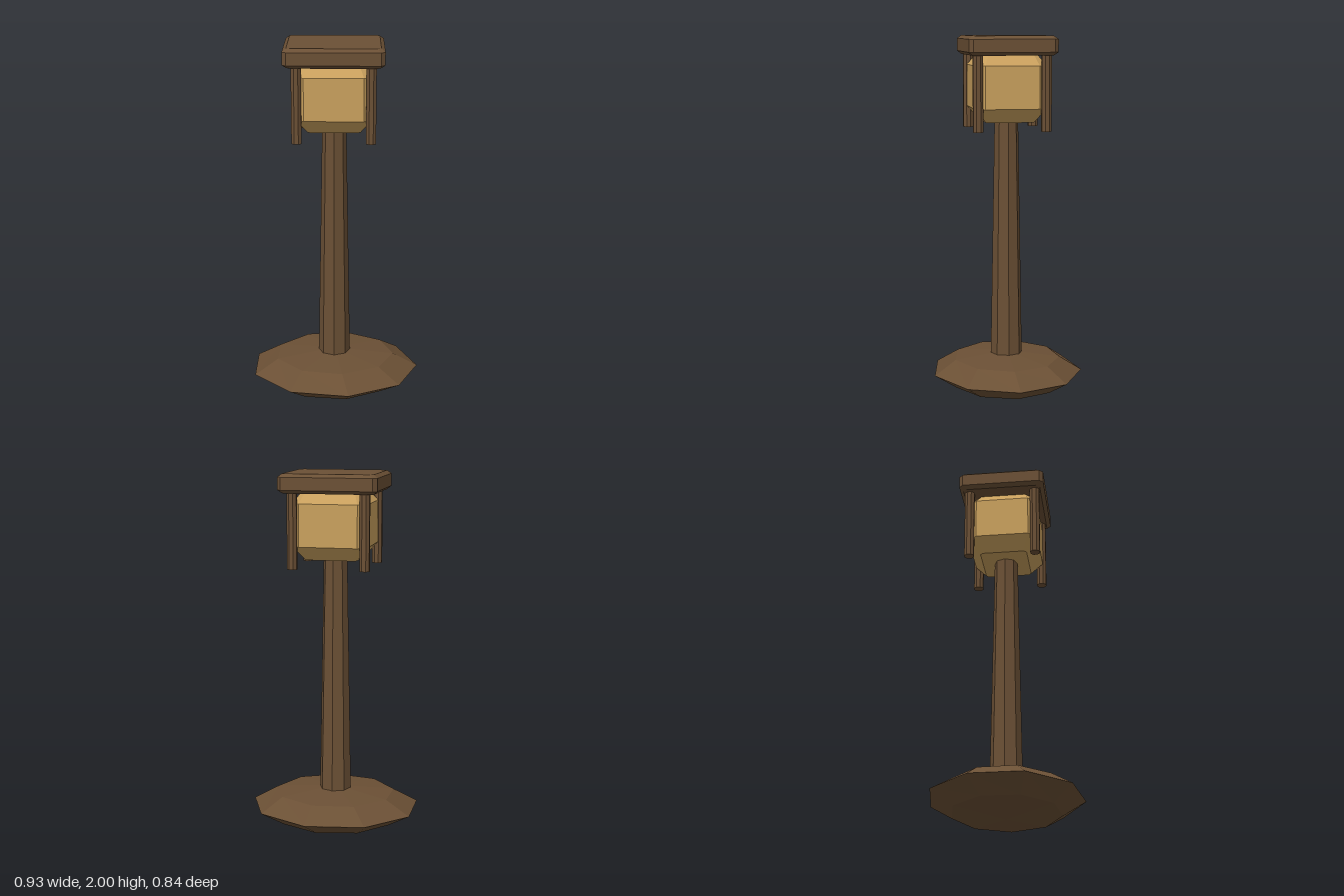
import * as THREE from 'three';
import { ConvexGeometry } from 'three/addons/geometries/ConvexGeometry.js';

export function createModel() {
  const model = new THREE.Group();
  const wood = new THREE.MeshStandardMaterial({ color: 0x6b5035 });
  wood.name = 'brown wood';
  const glow = new THREE.MeshStandardMaterial({ color: 0xc9a05d });
  glow.name = 'amber panel';
  const CX = -0.016; // shared axis of all parts

  const add = (name, geometry, material, x, y, z) => {
    const g = geometry.index ? geometry.toNonIndexed() : geometry;
    g.computeVertexNormals(); // flat facets
    const mesh = new THREE.Mesh(g, material);
    mesh.name = name;
    mesh.position.set(x, y, z);
    model.add(mesh);
  };

  // Rectangle with cut corners at height y
  const octagon = (hx, hz, cut, y) => {
    const pts = [];
    for (const sx of [-1, 1]) for (const sz of [-1, 1]) {
      pts.push(new THREE.Vector3(sx * hx, y, sz * (hz - cut)));
      pts.push(new THREE.Vector3(sx * (hx - cut), y, sz * hz));
    }
    return pts;
  };

  // Box with bevelled edges: inset is the sideways bevel, drop its height,
  // cut and endCut the corner cuts on the sides and on top and bottom
  const bevelBox = (hx, hy, hz, cut, endCut, inset, drop) => {
    const pts = [];
    for (const s of [-1, 1]) {
      pts.push(...octagon(hx, hz, cut, s * (hy - drop)));
      pts.push(...octagon(hx - inset, hz - inset, endCut, s * hy));
    }
    return new ConvexGeometry(pts);
  };

  // Squashed nine-sided foot, rings slightly twisted
  const foot = new THREE.SphereGeometry(1, 9, 4);
  foot.rotateY(Math.PI);
  const p = foot.attributes.position;
  const v = new THREE.Vector3();
  const up = new THREE.Vector3(0, 1, 0);
  for (let i = 0; i < p.count; i++) {
    v.fromBufferAttribute(p, i).applyAxisAngle(up, -0.045 * p.getY(i));
    p.setXYZ(i, v.x * 0.479, v.y * 0.11, v.z * 0.426);
  }
  add('base', foot, wood, CX, 0.11, 0);

  // Tapered eight-sided pole
  add('pole', new THREE.CylinderGeometry(0.066, 0.091, 1.45, 8), wood, CX, 0.835, 0);

  // Lantern body with deep bevels all round, reaching out to the corner posts
  add('lanternBody', bevelBox(0.21, 0.193, 0.198, 0.05, 0.015, 0.066, 0.077), glow, CX, 1.723, 0);

  // Eight-sided corner posts hanging from the roof
  for (const sx of [-1, 1]) for (const sz of [-1, 1]) {
    const post = new THREE.CylinderGeometry(0.029, 0.029, 0.435, 8);
    post.rotateY(Math.PI / 8);
    add('cornerPost', post, wood, CX + sx * 0.199, 1.7025, sz * 0.187);
  }

  // Flat roof slab
  add('roof', bevelBox(0.271, 0.0525, 0.242, 0.022, 0.02, 0.022, 0.018), wood, CX, 1.9475, 0);

  return model;
}
